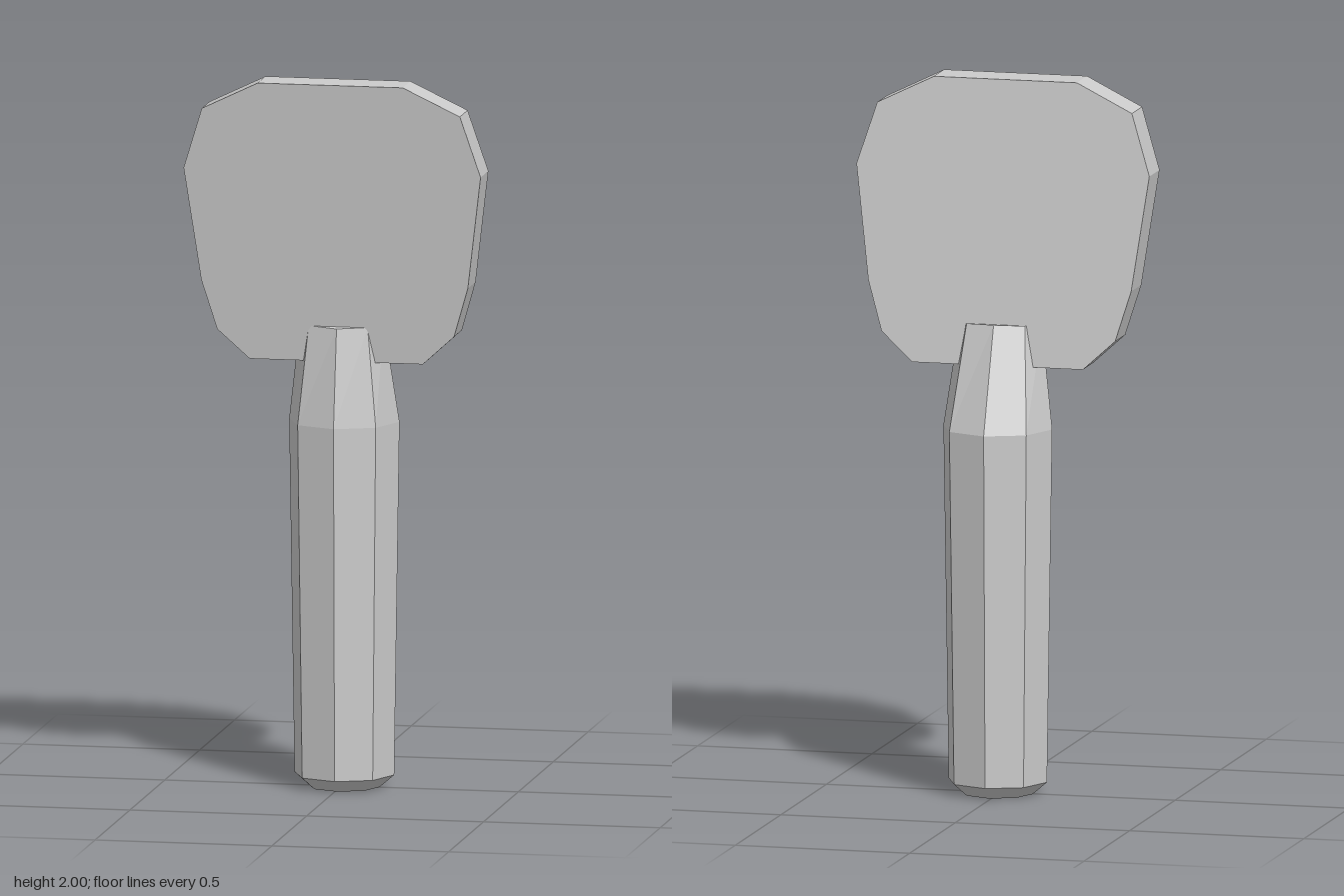
import * as THREE from 'three';

const material = new THREE.MeshStandardMaterial({ color: 0xcccccc, flatShading: true });

// Eight-sided handle lofted through rings: centre y, centre z, radius x, radius z, rise towards the back
function handleGeometry() {
  const sides = 8, cx = 0.007;
  const rings = [
    [0, -0.005, 0.1, 0.1, 0],
    [0.035, -0.005, 0.141, 0.141, 0],
    [1.03, -0.005, 0.156, 0.156, 0],
    [1.315, 0.028, 0.118, 0.08, 0.01],
  ];
  const positions = [], index = [];
  for (const [y, cz, rx, rz, rise] of rings) {
    for (let i = 0; i < sides; i++) {
      const a = (i / sides) * Math.PI * 2;
      positions.push(cx + Math.sin(a) * rx, y - Math.cos(a) * rise, cz + Math.cos(a) * rz);
    }
  }
  for (let r = 0; r < rings.length - 1; r++) {
    for (let i = 0; i < sides; i++) {
      const a = r * sides + i, b = r * sides + (i + 1) % sides;
      index.push(a, b, b + sides, a, b + sides, a + sides);
    }
  }
  // End caps
  const top = (rings.length - 1) * sides;
  for (let i = 1; i < sides - 1; i++) {
    index.push(0, i + 1, i, top, top + i, top + i + 1);
  }
  const geometry = new THREE.BufferGeometry();
  geometry.setAttribute('position', new THREE.Float32BufferAttribute(positions, 3));
  geometry.setIndex(index);
  const flat = geometry.toNonIndexed();
  flat.computeVertexNormals();
  return flat;
}

// Flat paddle outline, extruded and then sheared so that it leans forward
function bladeGeometry() {
  const half = [[0.245, 1.208], [0.335, 1.29], [0.377, 1.43], [0.42, 1.75], [0.365, 1.922], [0.205, 2]];
  const mirrored = half.map(([x, y]) => [-x, y]).reverse();
  const outline = [...half, ...mirrored].map(([x, y]) => new THREE.Vector2(x, y));
  const geometry = new THREE.ExtrudeGeometry(new THREE.Shape(outline), { depth: 0.112, bevelEnabled: false });
  const p = geometry.attributes.position;
  for (let i = 0; i < p.count; i++) {
    p.setZ(i, p.getZ(i) - 0.036 + (p.getY(i) - 1.208) * 0.11);
  }
  geometry.computeVertexNormals();
  return geometry;
}

export function createModel() {
  const group = new THREE.Group();
  group.name = 'paddle';
  const parts = { handle: handleGeometry(), blade: bladeGeometry() };
  for (const [name, geometry] of Object.entries(parts)) {
    const mesh = new THREE.Mesh(geometry, material);
    mesh.name = name;
    group.add(mesh);
  }
  return group;
}
